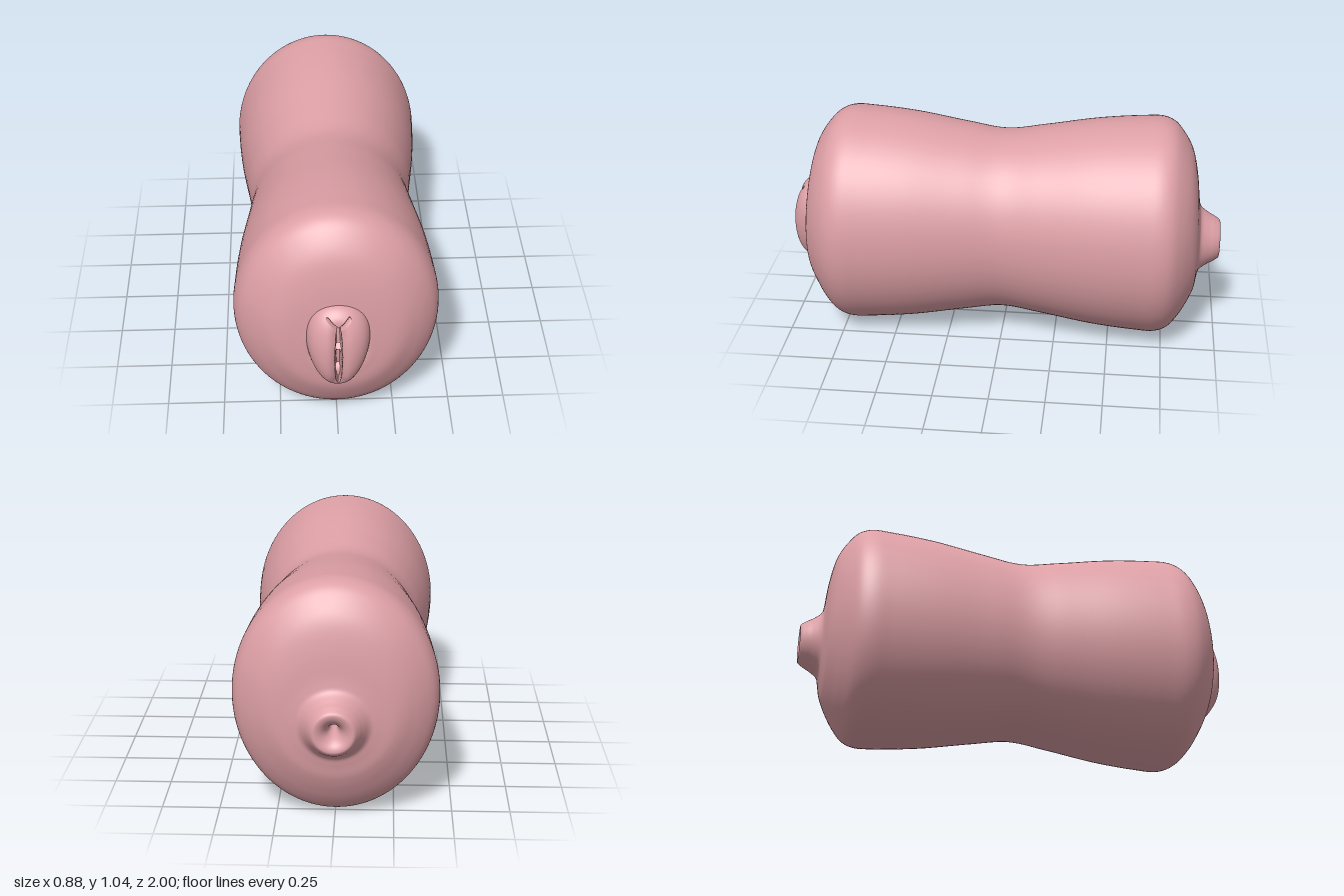
import * as THREE from 'three';
import { mergeVertices } from 'three/addons/utils/BufferGeometryUtils.js';

const smooth = THREE.MathUtils.smoothstep;

// Lathed shell along z: rear nozzle, waisted oval body, front recess and through channel
function bodyGeometry() {
  const outline = [
    [0.012, -0.88], [0.02, -0.93], [0.035, -0.97], [0.06, -0.995], [0.085, -1.0], [0.105, -0.975],
    [0.122, -0.945], [0.15, -0.91], [0.185, -0.9], [0.28, -0.885], [0.37, -0.858], [0.445, -0.815],
    [0.495, -0.77], [0.516, -0.715], [0.514, -0.62], [0.495, -0.42], [0.455, -0.18], [0.43, 0],
    [0.455, 0.18], [0.495, 0.42], [0.514, 0.62], [0.516, 0.715], [0.495, 0.77], [0.445, 0.82],
    [0.37, 0.866], [0.28, 0.896], [0.18, 0.912], [0.12, 0.912], [0.08, 0.86], [0.03, 0.81], [0.012, 0.78],
  ].map(([r, z]) => new THREE.Vector3(r, z, 0));
  const profile = new THREE.CatmullRomCurve3(outline, false, 'centripetal')
    .getPoints(180).map((p) => new THREE.Vector2(p.x, p.y));
  profile.push(new THREE.Vector2(0.012, 0), profile[0].clone());

  const lathe = new THREE.LatheGeometry(profile, 96).rotateX(Math.PI / 2);
  const pos = lathe.attributes.position;
  for (let i = 0; i < pos.count; i++) {
    const x = pos.getX(i), y = pos.getY(i);
    // wide rings are oval and sit higher; narrow ones are round about the channel
    const k = smooth(Math.hypot(x, y), 0.16, 0.4);
    pos.setXY(i, x * (1 - 0.15 * k), y + 0.462 + 0.06 * k);
  }
  lathe.deleteAttribute('uv');
  lathe.deleteAttribute('normal');
  const geo = mergeVertices(lathe, 1e-5);
  geo.computeVertexNormals();
  return geo;
}

// Height of the front relief: egg-shaped dome cut by a slit and two short upper creases
function reliefHeight(x, y, rho) {
  const ax = Math.abs(x);
  const dome = 0.892 + 0.112 * Math.sqrt(Math.max(0, 1 - rho ** 2.5));
  const along = (y - 0.458) / 0.158;
  const w = 0.013 * Math.sqrt(Math.max(0, 1 - along * along));
  const inSlit = w > 0 ? 1 - smooth(ax, w * 0.6, w * 1.15 + 0.002) : 0;
  const valley = Math.exp(-((ax / 0.028) ** 2)) * (1 - smooth(y, 0.57, 0.66)) * smooth(y, 0.265, 0.33);
  const t = THREE.MathUtils.clamp((ax * 0.045 + (y - 0.605) * 0.045) / (2 * 0.045 ** 2), 0, 1);
  const d = Math.hypot(ax - 0.045 * t, y - 0.605 - 0.045 * t);
  const crease = (1 - smooth(d, 0.001, 0.007)) * (1 - 0.5 * t);
  const depth = 0.025 * valley + Math.max(0.08 * inSlit * Math.min(1, w / 0.008), 0.035 * crease);
  return dome - depth;
}

function reliefGeometry() {
  const n = 240, rings = 56, verts = [], index = [];
  for (let i = 0; i <= rings; i++) {
    const rho = 0.09 + 0.91 * Math.sin((i / rings) * Math.PI / 2);
    for (let j = 0; j < n; j++) {
      const a = (j / n) * Math.PI * 2;
      const th = a + 0.4 * Math.sin(2 * a); // denser near the slit
      const c = Math.cos(th), s = Math.sin(th);
      const x = 0.135 * rho * c;
      const y = 0.46 + rho * (0.0175 * rho + 0.2125 * s + 0.05 * c * c * rho);
      verts.push(x, y, reliefHeight(x, y, rho));
      if (i < rings) {
        const k = (j + 1) % n, p = i * n, q = p + n;
        index.push(p + j, q + j, q + k, p + j, q + k, p + k);
      }
    }
  }
  const geo = new THREE.BufferGeometry();
  geo.setAttribute('position', new THREE.Float32BufferAttribute(verts, 3));
  geo.setIndex(index);
  geo.computeVertexNormals();
  return geo;
}

export function createModel() {
  const group = new THREE.Group();
  const rose = new THREE.MeshStandardMaterial({ color: 0xdc9fa5, side: THREE.DoubleSide });
  rose.name = 'soft rose';
  const add = (name, geo) => {
    const mesh = new THREE.Mesh(geo, rose);
    mesh.name = name;
    group.add(mesh);
  };
  add('body', bodyGeometry());
  add('frontRelief', reliefGeometry());
  return group;
}
